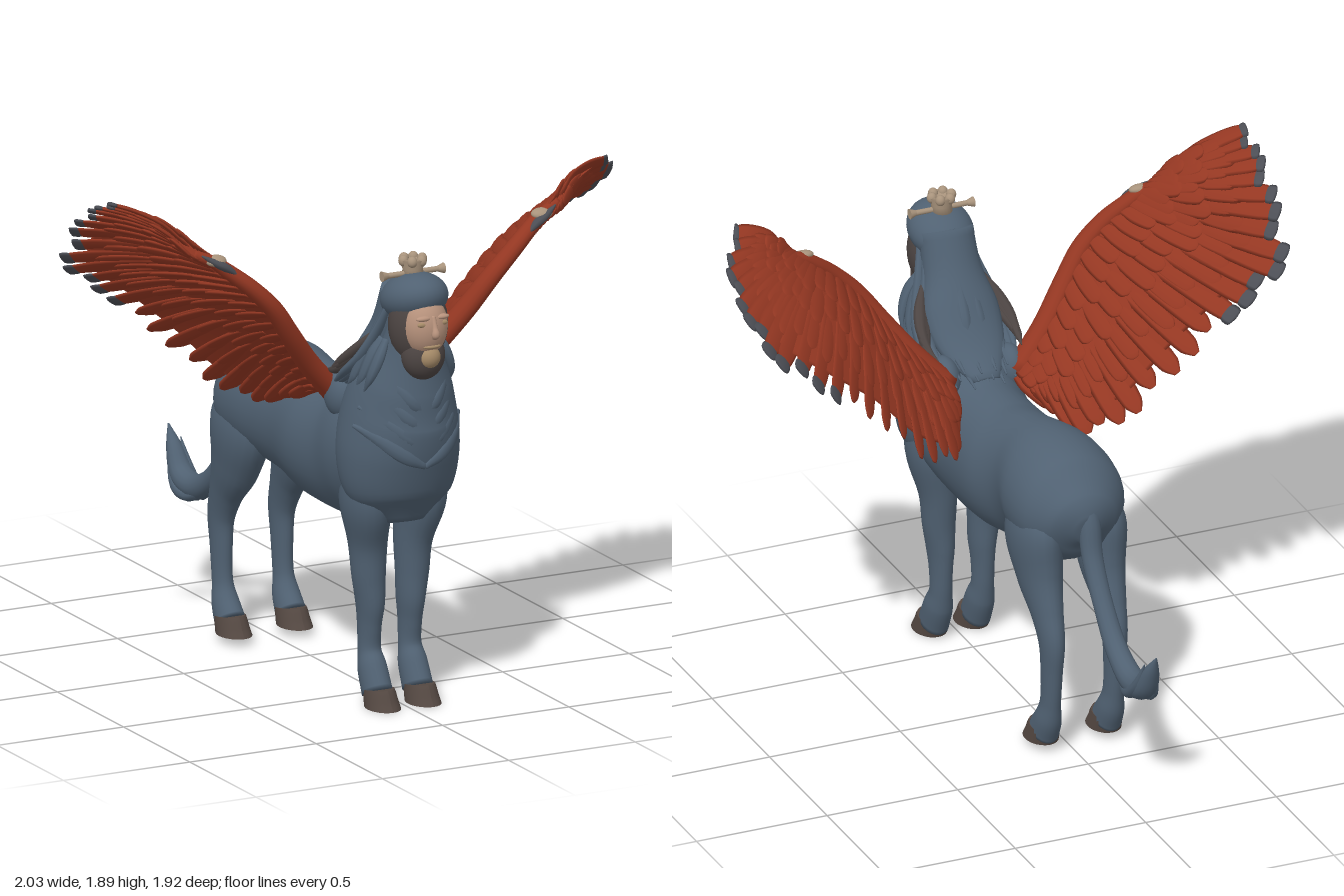
import * as THREE from 'three';
import { mergeGeometries } from 'three/addons/utils/BufferGeometryUtils.js';

const V = (x, y, z) => new THREE.Vector3(x, y, z);
const mat = (name, color) => {
  const m = new THREE.MeshStandardMaterial({ color });
  m.name = name;
  return m;
};

// closed smooth surface through equal-sized rings of points
function skin(rings) {
  const n = rings[0].length, pos = [], idx = [];
  const add = (p) => pos.push(p.x, p.y, p.z) / 3 - 1;
  rings.forEach((r) => r.forEach(add));
  for (let i = 0; i < rings.length - 1; i++)
    for (let j = 0; j < n; j++) {
      const a = i * n + j, b = i * n + (j + 1) % n;
      idx.push(a, b, a + n, b, b + n, a + n);
    }
  const mid = (r) => r.reduce((s, p) => s.add(p), V(0, 0, 0)).divideScalar(n);
  const last = (rings.length - 1) * n;
  const s = add(mid(rings[0])), e = add(mid(rings[rings.length - 1]));
  for (let j = 0; j < n; j++) {
    const k = (j + 1) % n;
    idx.push(s, k, j, e, last + j, last + k);
  }
  const g = new THREE.BufferGeometry();
  g.setAttribute('position', new THREE.Float32BufferAttribute(pos, 3));
  g.setIndex(idx);
  g.computeVertexNormals();
  return g;
}

// elliptical sweep through [x, y, z, radius along side, radius across]
function sweep(pts, seg = 20, steps = 6, side = V(1, 0, 0)) {
  const path = new THREE.CatmullRomCurve3(pts.map((p) => V(p[0], p[1], p[2])));
  const rad = new THREE.CatmullRomCurve3(pts.map((p) => V(p[3], p[4], 0)), false, 'catmullrom');
  const rings = [], N = (pts.length - 1) * steps;
  for (let i = 0; i <= N; i++) {
    const c = path.getPoint(i / N), r = rad.getPoint(i / N), t = path.getTangent(i / N);
    const up = t.clone().cross(side).normalize(), sd = up.clone().cross(t);
    const ring = [];
    for (let j = 0; j < seg; j++) {
      const a = (j / seg) * Math.PI * 2;
      ring.push(c.clone().addScaledVector(sd, Math.max(r.x, 0.001) * Math.cos(a))
        .addScaledVector(up, Math.max(r.y, 0.001) * Math.sin(a)));
    }
    rings.push(ring);
  }
  return skin(rings);
}

const ball = (x, y, z, rx, ry, rz, tilt = 0) =>
  new THREE.SphereGeometry(1, 28, 20).scale(rx, ry, rz).rotateX(tilt).translate(x, y, z);

export function createModel() {
  const root = new THREE.Group();
  const coat = mat('slate coat', 0x506172), red = mat('red feather', 0x943722);
  const tipMat = mat('grey feather tip', 0x4c4e55), dark = mat('dark hair', 0x4d4543);
  const flesh = mat('skin', 0xb8937d), tan = mat('tan beard', 0xa58a68);
  const hoofMat = mat('hoof', 0x544842), bone = mat('beige ornament', 0xa8937c);
  const add = (name, geo, m) => {
    const mesh = new THREE.Mesh(geo, m);
    mesh.name = name;
    root.add(mesh);
  };

  // trunk, chest and neck
  add('body', sweep([
    [-.035, .87, -.42, .04, .05], [-.035, .88, -.38, .13, .125], [-.035, .89, -.28, .2, .2],
    [-.035, .91, -.13, .207, .22], [-.02, .885, .02, .17, .23], [-.01, .855, .18, .19, .235],
    [0, .855, .36, .185, .245], [0, .88, .52, .2, .25], [0, .9, .66, .19, .22], [0, .88, .76, .12, .13],
  ], 32), coat);
  add('bellyPatch', ball(-.02, .685, -.04, .05, .025, .07, .2), dark);
  add('chest', sweep([
    [0, .67, .69, .08, .07], [0, .77, .67, .19, .16], [0, .92, .66, .22, .21], [0, 1.08, .68, .2, .215],
    [0, 1.2, .72, .165, .17], [0, 1.32, .76, .11, .11], [0, 1.42, .78, .085, .08],
  ], 32), coat);

  // legs and hooves
  for (const s of [1, -1]) {
    const fx = s * .08, hx = -.035 + s * .12;
    add('frontLeg', sweep([
      [s * .12, .9, .64, .06, .09], [s * .11, .74, .625, .083, .122], [s * .09, .58, .605, .066, .085],
      [s * .086, .46, .605, .058, .07], [fx, .36, .605, .048, .066], [fx, .28, .6, .04, .055],
      [fx, .19, .6, .04, .047], [fx, .13, .62, .05, .06], [fx, .045, .66, .052, .066],
    ]), coat);
    add('hindLeg', sweep([
      [-.035 + s * .09, .98, -.2, .05, .09], [hx, .82, -.22, .088, .16], [hx, .66, -.27, .075, .122],
      [hx, .54, -.335, .055, .08], [hx, .44, -.375, .043, .066], [hx, .33, -.375, .036, .054],
      [hx, .2, -.365, .035, .046], [hx, .13, -.345, .047, .056], [hx, .07, -.31, .052, .066],
    ]), coat);
    for (const [x, y, z] of [[fx, 0, .675], [hx, .028, -.305]]) {
      const g = new THREE.CylinderGeometry(.052, .06, .062, 24, 4), p = g.attributes.position;
      for (let i = 0; i < p.count; i++) {
        p.setZ(i, p.getZ(i) * 1.35 + .01 - p.getY(i) * .5);
        if (p.getY(i) > 0) p.setY(i, p.getY(i) + p.getZ(i) * .12);
      }
      g.translate(x, y + .031, z);
      g.computeVertexNormals();
      add('hoof', g, hoofMat);
    }
  }

  // tail with a brush of locks
  add('tail', sweep([
    [-.04, 1.01, -.35, .03, .03], [-.045, .91, -.4, .04, .038], [-.045, .77, -.435, .038, .036],
    [-.05, .62, -.52, .036, .034], [-.055, .49, -.63, .04, .04], [-.06, .43, -.75, .046, .046],
    [-.06, .45, -.85, .045, .042], [-.06, .535, -.91, .03, .028], [-.06, .61, -.955, .003, .003],
  ], 14), coat);
  add('tailBrush', mergeGeometries([-1, 0, 1].map((k) => sweep([
    [-.06, .46, -.64, .012, .012], [-.06 + k * .025, .4, -.76, .022, .022],
    [-.06 + k * .03, .44 + k * .02, -.85, .02, .02], [-.06 + k * .025, .55 + k * .02, -.91, .002, .002],
  ], 8, 5))), coat);

  // head
  add('sideHair', ball(0, 1.42, .815, .108, .15, .098), dark);
  add('hood', ball(0, 1.51, .785, .116, .088, .142, -.3), coat);
  add('jawBeard', ball(0, 1.315, .852, .08, .09, .07), dark);
  add('face', ball(0, 1.425, .86, .084, .112, .084), flesh);
  add('goatee', ball(0, 1.318, .89, .045, .045, .044), tan);
  add('nose', sweep([[0, 1.475, .93, .008, .008], [0, 1.435, .943, .01, .01],
    [0, 1.41, .95, .015, .014], [0, 1.395, .944, .01, .006]], 12), flesh);
  add('moustache', ball(0, 1.362, .92, .034, .009, .016), tan);
  for (const s of [1, -1]) {
    add('brow', ball(s * .035, 1.468, .925, .03, .01, .014), flesh);
    add('eye', ball(s * .036, 1.446, .925, .024, .01, .01), tan);
  }

  // ornament on the head
  const cup = [[0, 1.57], [.042, 1.57], [.036, 1.61], [.05, 1.645], [.042, 1.65], [0, 1.635]];
  add('crownCup', new THREE.LatheGeometry(cup.map(([r, y]) => new THREE.Vector2(r, y)), 20)
    .translate(0, 0, .775), bone);
  for (let i = 0; i < 6; i++) {
    const a = (i / 6) * Math.PI * 2;
    add('crownPetal', ball(.037 * Math.cos(a), 1.642, .775 + .037 * Math.sin(a), .018, .02, .018), bone);
  }
  add('crownRod', new THREE.CylinderGeometry(.01, .01, .22, 10).rotateZ(Math.PI / 2)
    .translate(0, 1.595, .775), bone);
  for (const s of [1, -1]) add('rodEnd', new THREE.CylinderGeometry(.019, .01, .025, 12)
    .rotateZ(-s * Math.PI / 2).translate(s * .11, 1.595, .775), bone);

  // mane: a base mass covered with hanging locks
  add('mane', sweep([
    [0, 1.53, .74, .098, .085], [0, 1.39, .685, .108, .09], [0, 1.27, .61, .14, .085],
    [0, 1.17, .5, .12, .05], [0, 1.1, .38, .05, .02],
  ], 24), coat);
  const locks = [], darkLocks = [], fur = [];
  for (let i = 0; i < 17; i++) {
    const k = i / 8 - 1, c = 1 - k * k, w = i % 3 * .02;
    locks.push(sweep([
      [k * .09, 1.48 + c * .07, .76 - c * .07, .012, .012], [k * .108, 1.39, .72 - c * .12, .02, .015],
      [k * .145, 1.28 - w, .66 - c * .13, .023, .017], [k * .165, 1.2 - w, .57 - c * .08, .018, .014],
      [k * .15, 1.13 - w, .46 - c * .08 - w, .003, .003],
    ], 8, 5));
  }
  // locks beside the cheeks, and darker ones low on the mane
  for (const s of [1, -1]) for (let i = 0; i < 3; i++) {
    locks.push(sweep([[s * .098, 1.36, .76 - i * .03, .01, .02], [s * .13, 1.3, .77 - i * .05, .018, .026],
      [s * .158, 1.23 - i * .01, .76 - i * .06, .014, .02], [s * .17, 1.17, .73 - i * .06, .002, .002]], 8, 5));
    darkLocks.push(sweep([[s * .115, 1.36 - i * .03, .68 - i * .02, .008, .01],
      [s * .152, 1.29 - i * .025, .62 - i * .02, .022, .018], [s * .172, 1.23 - i * .015, .55 - i * .015, .018, .016],
      [s * .16, 1.18, .48 - i * .02, .002, .002]], 8, 5));
  }
  add('maneLocks', mergeGeometries(locks), coat);
  add('darkManeLocks', mergeGeometries(darkLocks), dark);

  // chevron fur down the throat and chest
  for (let r = 0; r < 5; r++) for (const s of [1, -1]) {
    const y = 1.27 - r * .065, w = .1 + r * .018, z = .86 - (r === 0 ? .02 : 0);
    fur.push(sweep([[s * w * 1.2, y + .04, z - .14, .008, .008], [s * w * .8, y - .01, z - .035, .026, .013],
      [s * w * .4, y - .06, z + .005, .026, .014], [0, y - .1, z + .012, .01, .005]], 8, 5, V(0, 1, 0)));
  }
  add('chestFur', mergeGeometries(fur), coat);

  // wings: leading edge shared, feather tips differ between the two sides
  const lead = [[.13, 1.09, .44], [.25, 1.22, .48], [.35, 1.35, .53], [.43, 1.46, .56],
    [.52, 1.55, .56], [.6, 1.615, .54], [.64, 1.645, .53], [.68, 1.665, .52], [.72, 1.685, .51]];
  const tips = {
    1: [[.2, 1.03, .24], [.25, .98, .08], [.4, 1.04, .01], [.6, 1.24, -.01], [.8, 1.4, -.04],
      [.96, 1.52, .04], [1, 1.62, .2], [1, 1.72, .35], [.92, 1.81, .49]],
    '-1': [[.2, 1.03, .24], [.25, .98, .08], [.4, 1.05, .01], [.6, 1.24, -.02], [.8, 1.41, -.04],
      [.96, 1.54, -.03], [.99, 1.71, .09], [1, 1.82, .24], [1, 1.88, .39]],
  };
  for (const s of [1, -1]) {
    const curve = (l) => new THREE.CatmullRomCurve3(l.map((p) => V(s * p[0], p[1], p[2])));
    const L = curve(lead), T = curve(tips[s]);
    const frame = (t) => {
      const a = L.getPoint(t), chord = T.getPoint(t).sub(a);
      const side = L.getTangent(t).lerp(T.getTangent(t), t).normalize();
      return { a, chord, side, n: side.clone().cross(chord).normalize() };
    };
    const at = (f, u, off = 0) => f.a.clone().addScaledVector(f.chord, u)
      .addScaledVector(f.n, s * (.035 * Math.sin(Math.PI * Math.min(u, 1)) + off));

    // thin aerofoil under the feathers
    const rings = [];
    for (let i = 0; i <= 40; i++) {
      const f = frame(i / 40), ring = [];
      for (let j = 0; j < 20; j++) {
        const a = (j / 20) * Math.PI * 2, u = (1 - Math.cos(a)) * .43;
        ring.push(at(f, u, -s * Math.sin(a) * .024 * (1 - u)));
      }
      rings.push(ring);
    }
    add('wingBlade', skin(rings), red);
    add('wingArm', sweep(lead.map((p, i) => [s * p[0], p[1], p[2] - .02, .05 - i * .0035, .042 - i * .003]),
      14, 5, V(0, 0, 1)), red);
    add('wingShoulder', ball(s * .125, 1.09, .47, .055, .085, .08), coat);

    const feather = (t, u0, u1, w, off, twist = .25) => {
      const f = frame(t), side = f.side.clone().addScaledVector(f.n, twist);
      const shape = [[0, .6], [.35, .95], [.7, 1], [.92, .85], [1, .3]];
      return sweep(shape.map(([k, r]) => [...at(f, u0 + (u1 - u0) * k, off).toArray(), w * r, .007 * r + .001]),
        8, 3, side);
    };
    // long flight feathers, with grey ends on the outer ones
    const flight = [], ends = [], coverts = [];
    for (let i = 0; i < 24; i++) {
      const t = i / 23, len = 1 + (i % 3 === 1 ? -.05 : 0);
      flight.push(feather(t, .15, len, .043, 0));
      if (t > .45) ends.push(feather(t, len - .08, len + .004, .039, 0));
    }
    // short feathers: shaggy below, nearly flat above
    for (const [u0, u1, off, n] of [[.42, .8, .006, 24], [.22, .56, .014, 22], [.06, .36, .02, 20]])
      for (let i = 0; i < n; i++) {
        const t = (i + .5) / n, end = u1 - (i % 3) * .04;
        coverts.push(feather(t, u0, end, .03, -off, .35), feather(t, u0, end, .036, off * .75, .12));
      }
    add('flightFeathers', mergeGeometries(flight), red);
    add('featherTips', mergeGeometries(ends), tipMat);
    add('coverts', mergeGeometries(coverts), red);
    // worn patch on the leading edge: pale above, grey in front
    add('palePatch', ball(s * .645, 1.658, .518, .04, .018, .028, .3).rotateZ(0), bone);
    add('greyPatch', sweep([[s * .57, 1.598, .552, .003, .003], [s * .61, 1.63, .54, .02, .015],
      [s * .65, 1.652, .532, .02, .014], [s * .7, 1.682, .518, .003, .003]], 10, 5, V(0, 0, 1)), tipMat);
  }
  return root;
}
